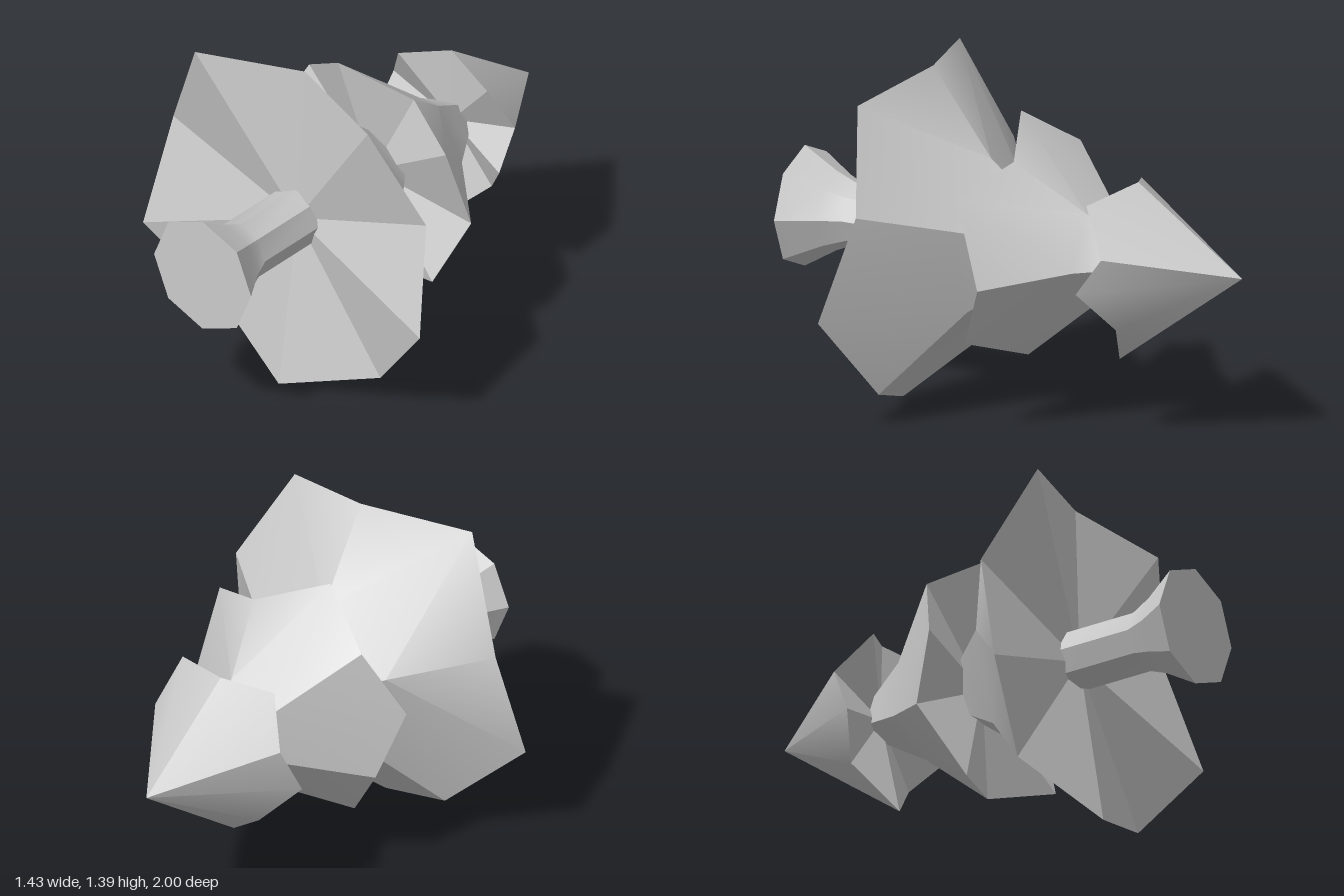
import * as THREE from 'three';
import { toCreasedNormals } from 'three/addons/utils/BufferGeometryUtils.js';

const AXIS_Y = 0.72;
const material = new THREE.MeshStandardMaterial({ color: 0xcccccc });
const flatMaterial = new THREE.MeshStandardMaterial({ color: 0xcccccc, flatShading: true });

function triangles(list) {
  const g = new THREE.BufferGeometry().setFromPoints(list.flat());
  g.computeVertexNormals();
  return g;
}

// A five-sided skirt of branches around the z axis, narrowing towards -z.
// ridges / tips: [x, y, z] of rim corners, counter-clockwise, each tip follows its ridge.
// upper: [radius, z] of the rings above the rim; start: angle of the first ridge.
function makeTier(name, { ridges, tips, start, upper, apex, underZ }) {
  const vec = (p) => new THREE.Vector3(...p);
  const R = ridges.map(vec), T = tips.map(vec);
  const end = vec(apex), centre = new THREE.Vector3(0, AXIS_Y, underZ);
  const rings = upper.map(([r, z]) => R.map((_, i) => {
    const a = THREE.MathUtils.degToRad(start + i * 72);
    return new THREE.Vector3(r * Math.cos(a), AXIS_Y + r * Math.sin(a), z);
  }));
  rings.push(R.map(() => end));

  const outer = [], under = [];
  for (let i = 0; i < 5; i++) {
    const j = (i + 1) % 5;
    const first = rings[0];
    // Lowest panel with its drooping tip
    outer.push([R[i], first[i], T[i]], [T[i], first[j], R[j]]);
    if (rings.length > 1) outer.push([T[i], first[i], first[j]]);
    // Panels up to the apex
    for (let k = 0; k + 1 < rings.length; k++) {
      const a = rings[k], b = rings[k + 1];
      outer.push([a[i], b[i], a[j]]);
      if (k + 2 < rings.length) outer.push([a[j], b[i], b[j]]);
    }
    under.push([centre, R[i], T[i]], [centre, T[i], R[j]]);
  }
  const tier = new THREE.Group();
  tier.name = name;
  const top = new THREE.Mesh(toCreasedNormals(triangles(outer), 0.6), material);
  top.name = name + 'Branches';
  const bottom = new THREE.Mesh(triangles(under), flatMaterial);
  bottom.name = name + 'Underside';
  tier.add(top, bottom);
  return tier;
}

export function createModel() {
  const model = new THREE.Group();
  model.name = 'lyingFirTree';

  // Trunk: eight-sided, flared at the foot
  const profile = [[0, 0.35], [0.125, 0.35], [0.125, 0.76], [0.165, 0.855], [0.25, 1], [0, 1]]
    .map(([r, z]) => new THREE.Vector2(r, -z)).reverse();
  const trunkGeometry = toCreasedNormals(new THREE.LatheGeometry(profile, 8), 0.6);
  trunkGeometry.rotateX(-Math.PI / 2);
  const trunk = new THREE.Mesh(trunkGeometry, material);
  trunk.name = 'trunk';
  trunk.position.set(-0.014, AXIS_Y, 0);
  model.add(trunk);

  // Branch tiers, widest first
  model.add(makeTier('lowerTier', {
    start: 18,
    ridges: [[0.64, 0.925, 0.4], [0.015, 1.395, 0.4], [-0.655, 0.925, 0.41], [-0.4, 0.16, 0.41], [0.42, 0.135, 0.42]],
    tips: [[0.43, 1.32, 0.51], [-0.44, 1.37, 0.535], [-0.72, 0.455, 0.52], [0, 0, 0.545], [0.715, 0.49, 0.53]],
    upper: [[0.325, 0.145], [0.16, -0.06]], apex: [0, AXIS_Y, -0.26], underZ: 0.43,
  }));
  model.add(makeTier('middleTier', {
    start: -7.5,
    ridges: [[0.485, 0.65, -0.065], [0.19, 1.11, -0.065], [-0.35, 1.06, -0.065], [-0.42, 0.51, -0.065], [0.08, 0.285, -0.07]],
    tips: [[0.45, 1.01, 0.05], [-0.095, 1.23, 0.062], [-0.49, 0.78, 0.045], [-0.23, 0.24, 0.045], [0.38, 0.39, 0.05]],
    upper: [[0.21, -0.34], [0.13, -0.47]], apex: [0, AXIS_Y, -0.68], underZ: -0.04,
  }));
  model.add(makeTier('topTier', {
    start: 18,
    ridges: [[0.32, 0.805, -0.535], [0, 1.045, -0.525], [-0.31, 0.82, -0.54], [-0.2, 0.46, -0.535], [0.2, 0.485, -0.535]],
    tips: [[0.26, 1.0, -0.435], [-0.195, 1.0, -0.43], [-0.35, 0.62, -0.45], [0, 0.3, -0.44], [0.33, 0.65, -0.425]],
    upper: [], apex: [0.005, 0.715, -1], underZ: -0.53,
  }));
  return model;
}
